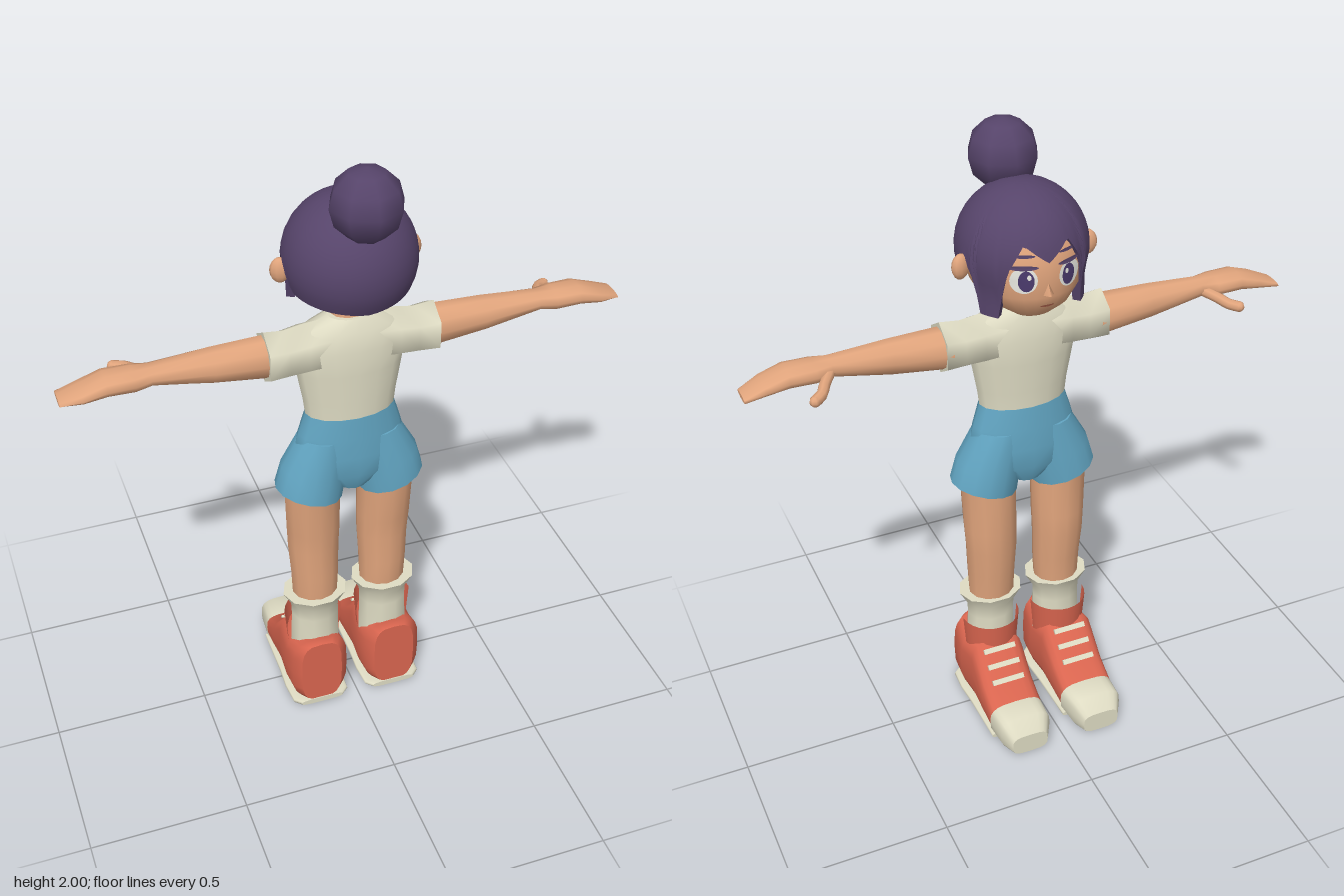
import * as THREE from 'three';
import { toCreasedNormals } from 'three/addons/utils/BufferGeometryUtils.js';

const mat = (name, color) => {
  const m = new THREE.MeshStandardMaterial({ color, side: THREE.DoubleSide });
  m.name = name;
  return m;
};

// Lofts rings [t, c1, c2, r1, r2, slant] along an axis, with closed ends.
// Cross axes: y -> (x, z), x -> (z, y), z -> (y, x). Power > 2 squares the ring.
function loft(axis, rings, sides = 12, power = 2, phase = 0) {
  const pos = [], idx = [];
  const place = (t, u, v) => pos.push(...(axis === 'y' ? [u, t, v] : axis === 'x' ? [t, v, u] : [v, u, t]));
  const bend = (s) => Math.sign(s) * Math.pow(Math.abs(s), 2 / power);
  const ring = ([t, c1, c2, r1, r2, slant = 0]) => {
    for (let j = 0; j < sides; j++) {
      const a = phase + (j / sides) * Math.PI * 2;
      place(t + slant * Math.cos(a), c1 + r1 * bend(Math.cos(a)), c2 + r2 * bend(Math.sin(a)));
    }
  };
  rings.forEach(ring);
  for (let i = 0; i < rings.length - 1; i++) {
    for (let j = 0; j < sides; j++) {
      const a = i * sides + j, b = i * sides + (j + 1) % sides, c = a + sides, d = b + sides;
      idx.push(a, c, b, b, c, d);
    }
  }
  [rings[0], rings[rings.length - 1]].forEach((r, end) => {
    const base = pos.length / 3;
    ring(r);
    place(r[0], r[1], r[2]);
    for (let j = 0; j < sides; j++) {
      const a = base + j, b = base + (j + 1) % sides;
      idx.push(base + sides, end ? b : a, end ? a : b);
    }
  });
  return build(pos, idx);
}

function build(pos, idx) {
  const g = new THREE.BufferGeometry();
  g.setAttribute('position', new THREE.Float32BufferAttribute(pos, 3));
  g.setIndex(idx);
  g.computeVertexNormals();
  return g;
}

// Mirrors an indexed geometry in x and restores its winding
function mirrored(geo) {
  const g = geo.clone().scale(-1, 1, 1), ix = g.index;
  for (let i = 0; i < ix.count; i += 3) {
    const a = ix.getX(i);
    ix.setX(i, ix.getX(i + 2));
    ix.setX(i + 2, a);
  }
  return g;
}

// Piecewise linear lookup in rows whose first entry ascends
function lookup(rows, t, k) {
  let i = 0;
  while (i < rows.length - 2 && t > rows[i + 1][0]) i++;
  const f = (t - rows[i][0]) / (rows[i + 1][0] - rows[i][0]);
  return THREE.MathUtils.lerp(rows[i][k], rows[i + 1][k], THREE.MathUtils.clamp(f, 0, 1));
}

// Head sections: y, x, z, half width, half depth
const HEAD = [
  [1.493, 0, -0.03, 0.06, 0.045], [1.53, 0, 0.01, 0.122, 0.127], [1.58, 0, 0.035, 0.163, 0.172],
  [1.65, 0, 0.05, 0.182, 0.186], [1.72, 0, 0.055, 0.178, 0.18], [1.8, 0, 0.055, 0.125, 0.125],
];

// Lays a flat outline onto the face, which looks toward -z
function onFace(geo, cx, cy, lift) {
  const p = geo.attributes.position;
  for (let i = 0; i < p.count; i++) {
    const x = cx - p.getX(i), y = cy + p.getY(i);
    const s = Math.min(1, Math.abs(x) / lookup(HEAD, y, 3));
    p.setXYZ(i, x, y, lookup(HEAD, y, 2) - lookup(HEAD, y, 4) * Math.sqrt(1 - s * s) - lift);
  }
  geo.computeVertexNormals();
  return geo;
}
const oval = (rx, ry) => new THREE.CircleGeometry(1, 20).scale(rx, ry, 1);

// Hairline height by angle from the face (0) to the nape (pi)
const HAIRLINE = [
  [0, 1.69], [0.38, 1.745], [0.6, 1.67], [0.7, 1.6], [0.78, 1.51], [1.12, 1.51],
  [1.24, 1.62], [1.4, 1.69], [1.6, 1.66], [1.75, 1.59], [3.15, 1.56],
];

// Round cap of hair with fringe, side locks and a rim turned in to the head
function hairGeometry() {
  const R = 0.197, cy = 1.665, cz = 0.055, N = 96, rows = 12, pos = [], idx = [];
  for (let i = 0; i <= rows + 1; i++) {
    for (let j = 0; j < N; j++) {
      const a = (j / N) * Math.PI * 2, fold = Math.min(a, Math.PI * 2 - a);
      const end = Math.acos((lookup(HAIRLINE, fold, 1) - cy) / R);
      const phi = end * Math.min(1, i / rows), y = cy + R * Math.cos(phi);
      let r = R * Math.sin(phi);
      if (y < cy) r = Math.max(r, fold < 1.35 ? 0.184 : 0.155);
      if (i > rows) r -= 0.025;
      pos.push(r * Math.sin(a), y, cz - r * Math.cos(a));
      if (i <= rows) {
        const p = i * N + j, q = i * N + (j + 1) % N;
        idx.push(p, q, p + N, q, q + N, p + N);
      }
    }
  }
  return toCreasedNormals(build(pos, idx), 0.9);
}

export function createModel() {
  const model = new THREE.Group();
  model.name = 'girl';
  const skin = mat('skin', 0xe0a47c), hair = mat('hair purple', 0x56446a), cream = mat('cream', 0xdedbc3);
  const blue = mat('shorts blue', 0x62a5c2), red = mat('shoe red', 0xd9654f);
  const white = mat('eye white', 0xeeeee6), iris = mat('iris violet', 0x4a3a6c), lip = mat('lip brown', 0xa9604a);

  const add = (name, geo, m) => {
    const mesh = new THREE.Mesh(geo, m);
    mesh.name = name;
    model.add(mesh);
  };
  const pair = (name, geo, m) => {
    add(name + 'Left', geo, m);
    add(name + 'Right', mirrored(geo), m);
  };

  // Head, neck and ears
  add('head', loft('y', HEAD, 28), skin);
  add('neck', loft('y', [[1.42, 0, 0.05, 0.06, 0.05], [1.53, 0, 0.042, 0.052, 0.045]], 10), skin);
  pair('ear', new THREE.SphereGeometry(1, 10, 8).scale(0.03, 0.04, 0.02).rotateY(0.3).translate(0.2, 1.64, 0.033), skin);
  add('nose', new THREE.ConeGeometry(0.016, 0.035, 4).translate(0, 1.607, -0.137), skin);

  // Hair and bun
  add('hair', hairGeometry(), hair);
  add('bun', new THREE.SphereGeometry(0.108, 8, 6).translate(0, 1.893, 0.19), hair);

  // Face details
  pair('eyeWhite', onFace(oval(0.037, 0.04), 0.07, 1.64, 0.003), white);
  pair('iris', onFace(oval(0.022, 0.032), 0.065, 1.639, 0.005), iris);
  pair('glint', onFace(oval(0.006, 0.008), 0.058, 1.652, 0.007), white);
  pair('lash', onFace(oval(0.042, 0.007), 0.072, 1.679, 0.006), hair);
  pair('eyebrow', onFace(oval(0.032, 0.005), 0.068, 1.712, 0.004), hair);
  add('mouth', onFace(oval(0.022, 0.004), 0, 1.55, 0.003), lip);

  // Shirt
  add('shirt', loft('y', [
    [1.135, 0, 0.058, 0.14, 0.08], [1.2, 0, 0.058, 0.148, 0.08], [1.3, 0, 0.056, 0.166, 0.084],
    [1.38, 0, 0.056, 0.18, 0.084], [1.44, 0, 0.055, 0.15, 0.07], [1.475, 0, 0.052, 0.068, 0.052],
  ], 16), cream);
  pair('sleeve', loft('x', [
    [0.03, 0.055, 1.385, 0.075, 0.085], [0.14, 0.055, 1.378, 0.075, 0.083],
    [0.2, 0.057, 1.372, 0.07, 0.08], [0.263, 0.058, 1.374, 0.076, 0.085],
  ], 6, 2, Math.PI / 6), cream);

  // Arms and hands
  pair('arm', loft('x', [
    [0.24, 0.055, 1.373, 0.063, 0.068], [0.42, 0.056, 1.382, 0.055, 0.054], [0.6, 0.058, 1.393, 0.04, 0.031],
    [0.65, 0.058, 1.392, 0.054, 0.034], [0.73, 0.058, 1.394, 0.057, 0.031],
    [0.8, 0.058, 1.378, 0.055, 0.021], [0.865, 0.047, 1.362, 0.043, 0.008],
  ], 10), skin);
  const thumb = new THREE.CatmullRomCurve3([
    new THREE.Vector3(0.605, 1.388, 0.035), new THREE.Vector3(0.638, 1.376, -0.012),
    new THREE.Vector3(0.655, 1.368, -0.042), new THREE.Vector3(0.682, 1.362, -0.062),
  ]);
  pair('thumb', new THREE.TubeGeometry(thumb, 8, 0.017, 8), skin);
  pair('thumbTip', new THREE.SphereGeometry(0.017, 8, 6).translate(0.682, 1.362, -0.062), skin);

  // Shorts
  add('shortsHips', loft('y', [
    [0.87, 0, 0.055, 0.06, 0.07], [0.93, 0, 0.055, 0.15, 0.092], [1.0, 0, 0.055, 0.183, 0.092],
    [1.07, 0, 0.056, 0.164, 0.087], [1.145, 0, 0.058, 0.141, 0.081],
  ], 16), blue);
  pair('shortsLeg', loft('y', [
    [0.853, 0.134, 0.055, 0.106, 0.1, 0.028], [0.94, 0.115, 0.055, 0.104, 0.096, 0.015], [1.06, 0.075, 0.055, 0.085, 0.08],
  ], 14), blue);

  // Legs and socks
  pair('leg', loft('y', [
    [0.4, 0.116, 0.05, 0.074, 0.066], [0.52, 0.116, 0.05, 0.079, 0.074], [0.62, 0.117, 0.042, 0.084, 0.077],
    [0.7, 0.118, 0.046, 0.087, 0.082], [0.88, 0.121, 0.053, 0.09, 0.088],
  ], 12), skin);
  pair('sock', loft('y', [
    [0.2, 0.12, 0.055, 0.084, 0.072], [0.34, 0.118, 0.055, 0.08, 0.068],
    [0.385, 0.118, 0.055, 0.082, 0.07], [0.43, 0.118, 0.055, 0.107, 0.09],
  ], 10), cream);

  // Shoes: sections give z, top height and half width above a base height
  const shoe = (base, list) => loft('z', list.map(([z, top, w]) => [z, (top + base) / 2, 0.128, (top - base) / 2, w]), 20, 3.4);
  pair('toeCap', shoe(0, [[-0.302, 0.072, 0.062], [-0.262, 0.118, 0.086], [-0.18, 0.116, 0.092]]), cream);
  pair('shoe', shoe(0.015, [
    [-0.182, 0.115, 0.091], [-0.105, 0.168, 0.092], [-0.02, 0.265, 0.094],
    [0.06, 0.24, 0.099], [0.13, 0.27, 0.095], [0.154, 0.262, 0.07],
  ]), red);
  pair('sole', shoe(0, [
    [-0.2, 0.02, 0.093], [-0.02, 0.02, 0.096], [0.06, 0.02, 0.101], [0.135, 0.02, 0.096], [0.157, 0.02, 0.072],
  ]), cream);
  pair('tongue', new THREE.CylinderGeometry(0.096, 0.086, 0.13, 12, 1, true, Math.PI / 2, Math.PI)
    .translate(0.122, 0.262, 0.05), red);
  [[-0.045, 0.238], [-0.08, 0.198], [-0.118, 0.161]].forEach(([z, y], i) => {
    pair('lace' + (i + 1), new THREE.BoxGeometry(0.11, 0.009, 0.017)
      .rotateX(-0.83).translate(0.128, y, z), cream);
  });

  return model;
}
